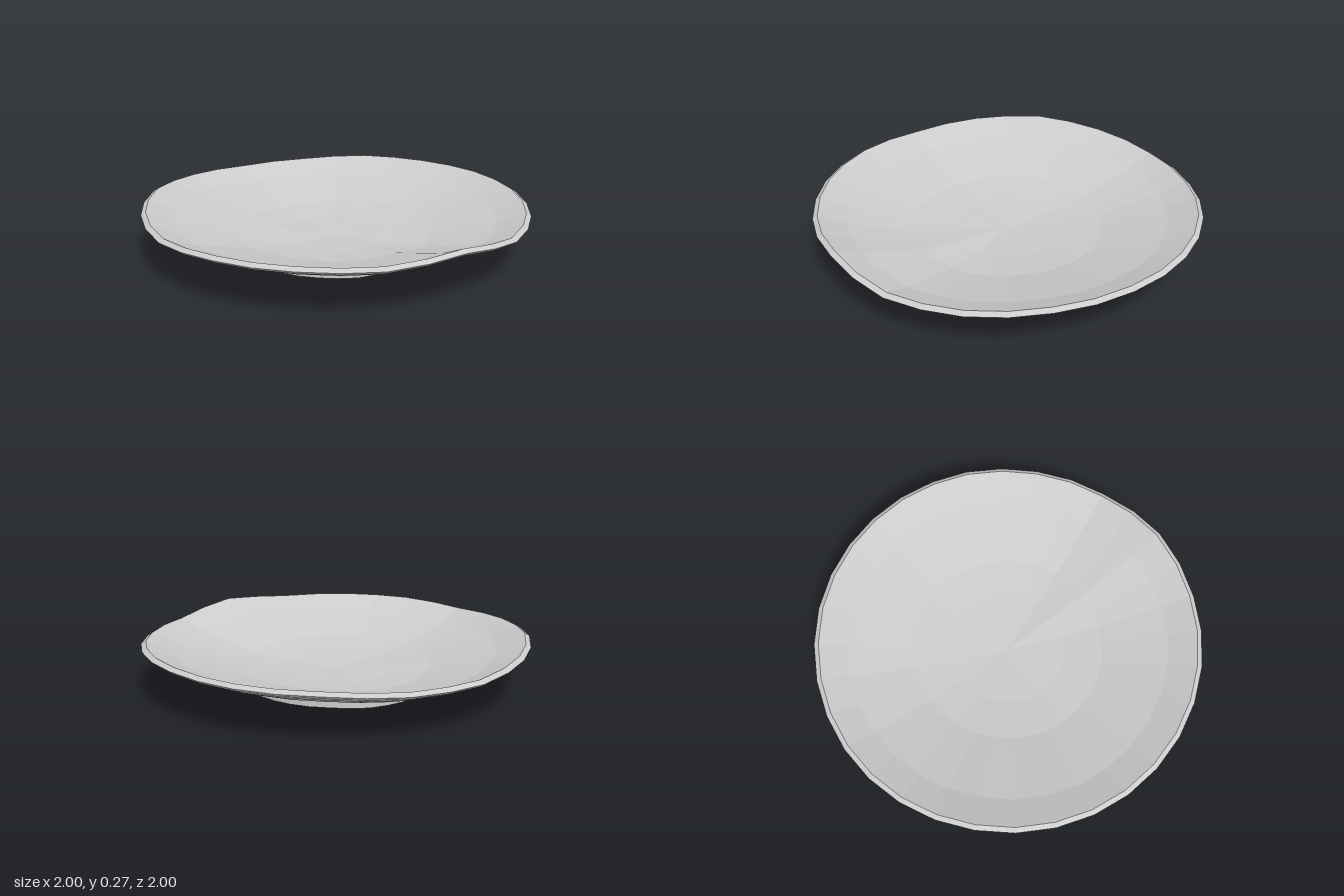
import * as THREE from 'three';

const SIDES = 32;

// rim lift at equal angle steps, from +x round through +z
const LIFT = [0.035, 0.03, 0.012, 0.003, 0.05, 0.025, 0.028, 0.025,
  0.01, 0.03, 0.045, 0.025, 0.005, 0.01, 0.03, 0.032];

function liftAt(angle) {
  const n = LIFT.length;
  const t = ((angle / (Math.PI * 2) + 1) % 1) * n;
  const i = Math.floor(t + 1e-4);
  return THREE.MathUtils.lerp(LIFT[i % n], LIFT[(i + 1) % n], Math.max(0, t - i));
}

// turned surface, bent up and down in proportion to the radius
function warpedLathe(name, profile, material) {
  const geo = new THREE.LatheGeometry(profile.map(([r, y]) => new THREE.Vector2(r, y)), SIDES);
  const p = geo.attributes.position;
  for (let i = 0; i < p.count; i++) {
    const x = p.getX(i), z = p.getZ(i);
    const r = Math.hypot(x, z);
    if (r > 0) p.setY(i, p.getY(i) + r * liftAt(Math.atan2(z, x)));
  }
  geo.computeVertexNormals();
  const mesh = new THREE.Mesh(geo, material);
  mesh.name = name;
  return mesh;
}

export function createModel() {
  const group = new THREE.Group();
  group.name = 'dish';
  const clay = new THREE.MeshStandardMaterial({ color: 0xcccccc, flatShading: true });

  // closed base disc and short upright foot
  group.add(warpedLathe('foot', [[0, 0], [0.5, 0], [0.5, 0.043]], clay));
  // flaring underside
  group.add(warpedLathe('underside',
    [[0.5, 0.043], [0.62, 0.07], [0.75, 0.11], [0.92, 0.17], [0.985, 0.197]], clay));
  // bevelled lip
  group.add(warpedLathe('rim', [[0.985, 0.197], [1, 0.21], [0.975, 0.226]], clay));
  // shallow bowl
  group.add(warpedLathe('bowl',
    [[0.975, 0.226], [0.83, 0.168], [0.5, 0.088], [0.3, 0.07], [0, 0.063]], clay));
  return group;
}
